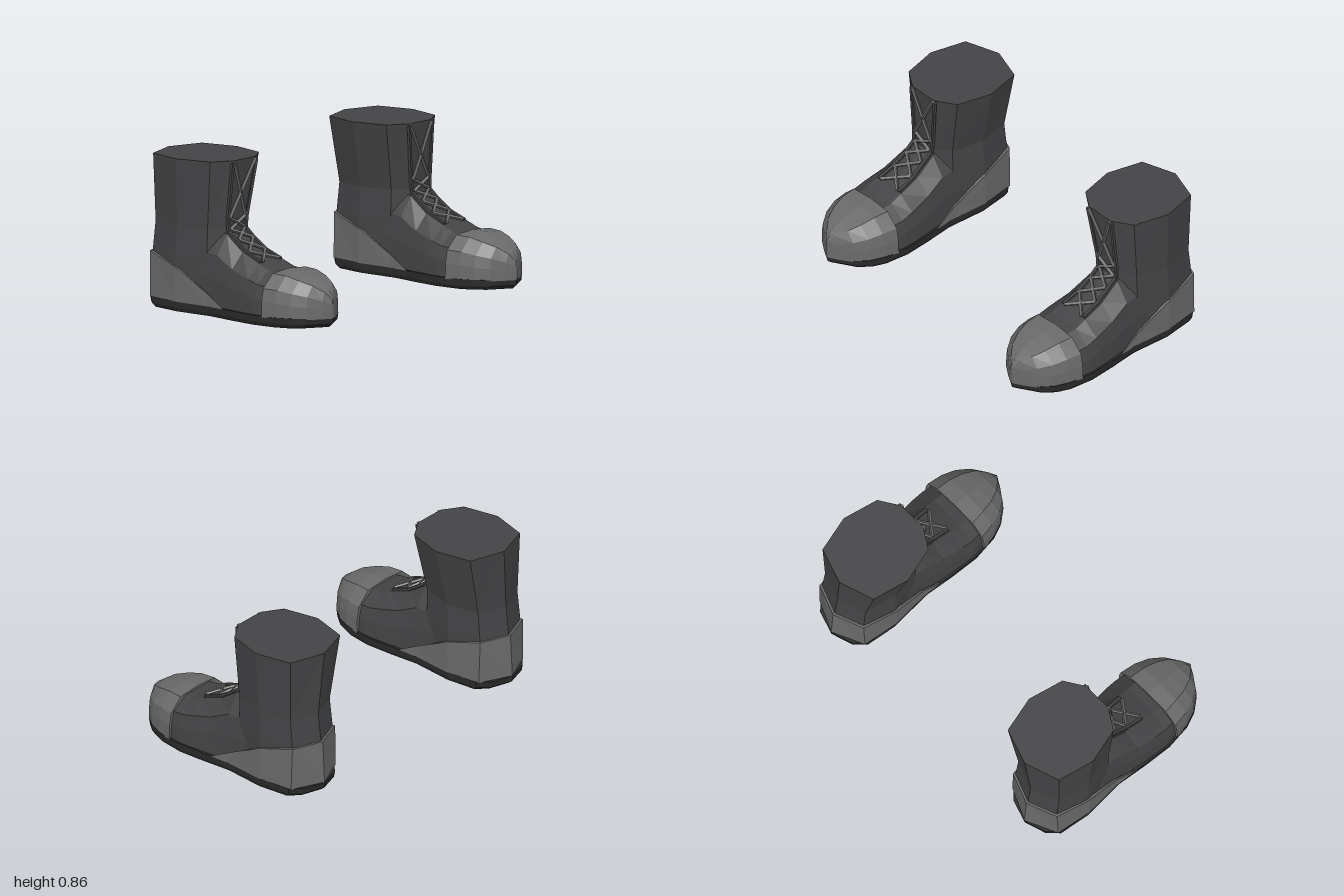
import * as THREE from 'three';

const mat = (color) => new THREE.MeshStandardMaterial({ color, flatShading: true, side: THREE.DoubleSide });
const upperMat = mat(0x444446);
const trimMat = mat(0x6a6a6a);
const soleMat = mat(0x2b2b2b);
const laceMat = mat(0x6e6e6e);

// Faceted mesh from rows of points; closed rows wrap round and get end caps
function loft(name, rows, material, closed = true) {
  const pos = [];
  const tri = (...pts) => pts.forEach((p) => pos.push(...p));
  const n = rows[0].length;
  const span = closed ? n : n - 1;
  for (let i = 0; i < rows.length - 1; i++) {
    for (let j = 0; j < span; j++) {
      const k = (j + 1) % n;
      const [a, b, c, d] = [rows[i][j], rows[i][k], rows[i + 1][k], rows[i + 1][j]];
      tri(a, b, c);
      tri(a, c, d);
    }
  }
  if (closed) {
    const centre = (row) => [0, 1, 2].map((q) => row.reduce((sum, p) => sum + p[q], 0) / n);
    const first = rows[0], last = rows[rows.length - 1];
    const c0 = centre(first), c1 = centre(last);
    for (let j = 0; j < n; j++) {
      const k = (j + 1) % n;
      tri(c0, first[k], first[j]);
      tri(c1, last[j], last[k]);
    }
  }
  const geo = new THREE.BufferGeometry();
  geo.setAttribute('position', new THREE.Float32BufferAttribute(pos, 3));
  geo.computeVertexNormals();
  const mesh = new THREE.Mesh(geo, material);
  mesh.name = name;
  return mesh;
}

// Complete a half outline by reflecting it in x
const mirror = (half) => [
  ...half,
  ...half.slice().reverse().filter((p) => p[0] !== 0).map(([x, ...rest]) => [-x, ...rest]),
];

// Flat strip between two points, facing up and forward
function strip(name, a, b, width, thick, material) {
  const from = new THREE.Vector3(...a), to = new THREE.Vector3(...b);
  const mesh = new THREE.Mesh(new THREE.BoxGeometry(width, thick, from.distanceTo(to)), material);
  mesh.name = name;
  mesh.up.set(0, 0.7, 0.7);
  mesh.position.copy(from).lerp(to, 0.5);
  mesh.lookAt(to);
  return mesh;
}

// Upright slices through the foot: [z, half width, top height]
function footPart(name, slices, section, material) {
  const base = 0.05;
  return loft(name, slices.map(([z, w, top]) =>
    mirror(section.map(([u, v]) => [u * w, base + v * (top - base), z]))), material);
}

function createBoot(s) {
  const boot = new THREE.Group();

  // Sole: one outline, tapered in at the ground
  const outline = mirror([[0, -0.635], [-0.125, -0.595], [-0.185, -0.535], [-0.212, -0.35], [-0.2, -0.1],
    [-0.222, 0.08], [-0.236, 0.25], [-0.22, 0.4], [-0.19, 0.48], [-0.135, 0.55], [0, 0.632]]);
  const soleRows = [[0, 0.95], [0.02, 0.99], [0.057, 1]];
  boot.add(loft('sole', soleRows.map(([y, k]) => outline.map(([x, z]) => [x * k, y, z * k])), soleMat));

  // Instep
  boot.add(footPart('instep', [[-0.35, 0.17, 0.45], [-0.2, 0.18, 0.47], [-0.07, 0.188, 0.45], [0.05, 0.205, 0.365],
    [0.18, 0.222, 0.315], [0.25, 0.226, 0.288], [0.34, 0.215, 0.275]],
  [[1, 0], [0.97, 0.4], [0.88, 0.72], [0.45, 0.99], [0, 1]], upperMat));

  // Toe cap
  boot.add(footPart('toeCap', [[0.31, 0.232, 0.294], [0.4, 0.216, 0.29], [0.48, 0.186, 0.268], [0.55, 0.134, 0.243],
    [0.6, 0.06, 0.205], [0.63, 0.008, 0.165]],
  [[1, 0], [0.99, 0.35], [0.93, 0.65], [0.6, 0.95], [0, 1]], trimMat));

  // Shaft rings: height, sideways lean, half width, back z, front z
  const ringShape = mirror([[0, -1], [-0.8, -0.76], [-1, 0], [-0.8, 0.74], [-0.35, 1]]);
  const shaftRings = [[0.05, 0, 0.2, -0.615, -0.1], [0.31, 0, 0.205, -0.605, -0.08],
    [0.48, 0, 0.2, -0.585, -0.08], [0.855, -0.032, 0.253, -0.6, -0.045]];
  boot.add(loft('shaft', shaftRings.map(([y, lean, w, back, front]) => ringShape.map(([u, v]) =>
    [s * lean + u * w, y, (back + front) / 2 + v * (front - back) / 2])), upperMat));

  // Heel counter: bottom x, bottom z, height, top x, top z
  const heel = mirror([[0.214, 0.01, 0.06, 0.214, 0.01], [0.204, -0.12, 0.13, 0.2, -0.12],
    [0.213, -0.34, 0.25, 0.214, -0.34], [0.181, -0.548, 0.31, 0.174, -0.552], [0, -0.632, 0.31, 0, -0.618]]
    .map(([xb, zb, h, xt, zt]) => [xb, xt, zb, zt, h]));
  // The reflected half needs its top x flipped too
  const heelCols = heel.map(([xb, xt, zb, zt, h]) => [xb, Math.sign(xb) * Math.abs(xt), zb, zt, h]);
  boot.add(loft('heelCounter', [
    heelCols.map(([, xt, , zt, h]) => [xt * 0.92, h, (zt + 0.3) * 0.92 - 0.3]),
    heelCols.map(([, xt, , zt, h]) => [xt, h, zt]),
    heelCols.map(([xb, , zb]) => [xb, 0.055, zb]),
  ].reverse().map((row) => row.slice().reverse()), trimMat, false));

  // Lacing line up the front: lean, y, z, half spread
  const line = [[0, 0.325, 0.18, 0.07], [0, 0.365, 0.075, 0.065], [0, 0.42, -0.005, 0.06],
    [0, 0.47, -0.066, 0.06], [-0.003, 0.535, -0.068, 0.065], [-0.032, 0.85, -0.04, 0.085]];
  const laces = new THREE.Group();
  laces.name = 'laces';
  for (let i = 0; i < line.length - 1; i++) {
    const [l0, y0, z0, w0] = line[i], [l1, y1, z1, w1] = line[i + 1];
    for (const d of [-1, 1]) {
      laces.add(strip('lace', [s * l0 + d * w0, y0, z0], [s * l1 - d * w1, y1, z1], 0.016, 0.012, laceMat));
      // Raised edge beside the lacing
      boot.add(strip('eyeletEdge', [s * l0 + d * (w0 + 0.012), y0 - 0.006, z0 - 0.004],
        [s * l1 + d * (w1 + 0.012), y1 - 0.006, z1 - 0.004], 0.018, 0.014, upperMat));
    }
  }
  boot.add(laces);
  boot.position.x = s * 0.764;
  return boot;
}

export function createModel() {
  const model = new THREE.Group();
  model.name = 'boots';
  for (const s of [1, -1]) {
    const boot = createBoot(s);
    boot.name = s > 0 ? 'leftBoot' : 'rightBoot';
    model.add(boot);
  }
  return model;
}
